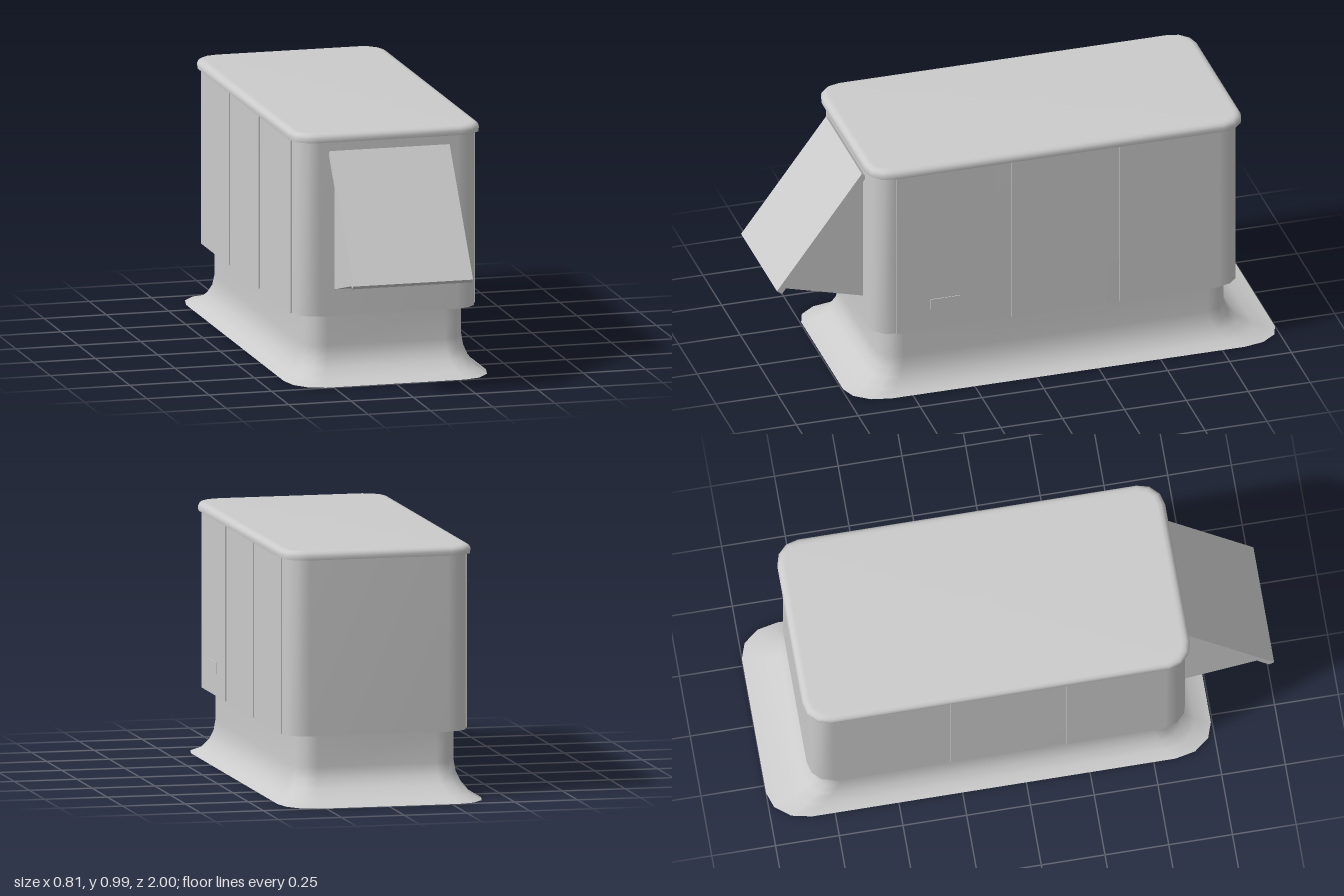
import * as THREE from 'three';

const grey = new THREE.MeshStandardMaterial({ color: 0xcccccc, side: THREE.DoubleSide });

// Rounded rectangle at height y: half width x, front z, back z, corner size rx by rz.
function outline({ y, x, front, back, rx, rz = rx }, steps = 3) {
  const points = [];
  const corners = [[1, front, 1], [-1, front, 1], [-1, back, -1], [1, back, -1]];
  corners.forEach(([sx, z, sz], q) => {
    for (let i = 0; i <= steps; i++) {
      const a = (q + i / steps) * Math.PI / 2;
      points.push([sx * (x - rx) + Math.cos(a) * rx, y, z - sz * rz + Math.sin(a) * rz]);
    }
  });
  return points;
}

// Smooth skin through a stack of outlines, optionally closed on top.
function loft(rings, capped = false) {
  const loops = rings.map((r) => outline(r));
  const n = loops[0].length;
  const positions = loops.flat(2);
  const index = [];
  for (let i = 0; i < loops.length - 1; i++) {
    for (let j = 0; j < n; j++) {
      const k = (j + 1) % n;
      const a = i * n + j, b = i * n + k, c = a + n, d = b + n;
      index.push(a, c, b, b, c, d);
    }
  }
  if (capped) {
    const last = rings[rings.length - 1];
    const first = (loops.length - 1) * n, centre = loops.length * n;
    positions.push(0, last.y, (last.front + last.back) / 2);
    for (let j = 0; j < n; j++) index.push(first + j, centre, first + (j + 1) % n);
  }
  const geometry = new THREE.BufferGeometry();
  geometry.setAttribute('position', new THREE.Float32BufferAttribute(positions, 3));
  geometry.setIndex(index);
  geometry.computeVertexNormals();
  return geometry;
}

// Extrudes a side profile of [z, y] points across the width, centred on x = 0.
function acrossWidth(profile, width) {
  const shape = new THREE.Shape(profile.map(([z, y]) => new THREE.Vector2(-z, y)));
  const geometry = new THREE.ExtrudeGeometry(shape, { depth: width, bevelEnabled: false });
  return geometry.translate(0, 0, -width / 2).rotateY(Math.PI / 2);
}

export function createModel() {
  const model = new THREE.Group();
  const add = (name, geometry, parent = model) => {
    const mesh = new THREE.Mesh(geometry, grey);
    mesh.name = name;
    parent.add(mesh);
    return mesh;
  };

  // Flared base: [height, how far it spreads from the neck to the foot]
  const flare = [[0, 1], [0.02, 0.56], [0.055, 0.25], [0.09, 0.08], [0.135, 0], [0.26, 0]];
  add('flaredBase', loft(flare.map(([y, t]) => ({
    y,
    x: 0.325 + 0.08 * t,
    front: 0.605 + 0.14 * t,
    back: -0.805 - 0.185 * t - 0.01 * t,
    rx: 0.09 + 0.035 * t,
    rz: 0.09 + 0.07 * t,
  }))));

  // Hollow housing and its bottom flange
  const body = { x: 0.365, front: 0.645, back: -0.84, rx: 0.09 };
  add('housing', loft([{ ...body, y: 0.26 }, { ...body, y: 0.955 }]));
  add('bottomFlange', loft([
    { y: 0.26, x: 0.29, front: 0.57, back: -0.765, rx: 0.06 },
    { ...body, y: 0.26 },
  ]));

  // Three raised panels on each side
  const panels = [[0.555, 0.165], [0.09, -0.29], [-0.345, -0.75]];
  for (const side of [1, -1]) {
    const group = new THREE.Group();
    group.name = side > 0 ? 'leftPanels' : 'rightPanels';
    for (const [front, back] of panels) {
      const panel = add('sidePanel', new THREE.BoxGeometry(0.012, 0.69, front - back), group);
      panel.position.set(side * 0.364, 0.605, (front + back) / 2);
    }
    model.add(group);
  }
  add('sideLatch', new THREE.BoxGeometry(0.01, 0.045, 0.12)).position.set(0.368, 0.37, 0.36);

  // Roof with a rounded, overhanging edge
  const roof = [[0.95, 0], [0.965, -0.002], [0.976, 0.004], [0.983, 0.014], [0.986, 0.03]];
  add('roof', loft(roof.map(([y, inset]) => ({
    y, x: 0.38 - inset, front: 0.66 - inset, back: -0.858 + inset, rx: 0.095 - inset,
  })), true));
  add('roofLip', loft([
    { ...body, y: 0.95, x: 0.36 },
    { y: 0.95, x: 0.38, front: 0.66, back: -0.858, rx: 0.095 },
  ]));

  // Sloping front hood with a wider cover plate
  add('hood', acrossWidth([[0.635, 0.362], [0.645, 0.365], [0.978, 0.452], [0.645, 0.9], [0.635, 0.9]], 0.436));
  add('hoodCover', acrossWidth([[0.98, 0.437], [1.0, 0.452], [0.657, 0.916], [0.637, 0.901]], 0.48));

  return model;
}
